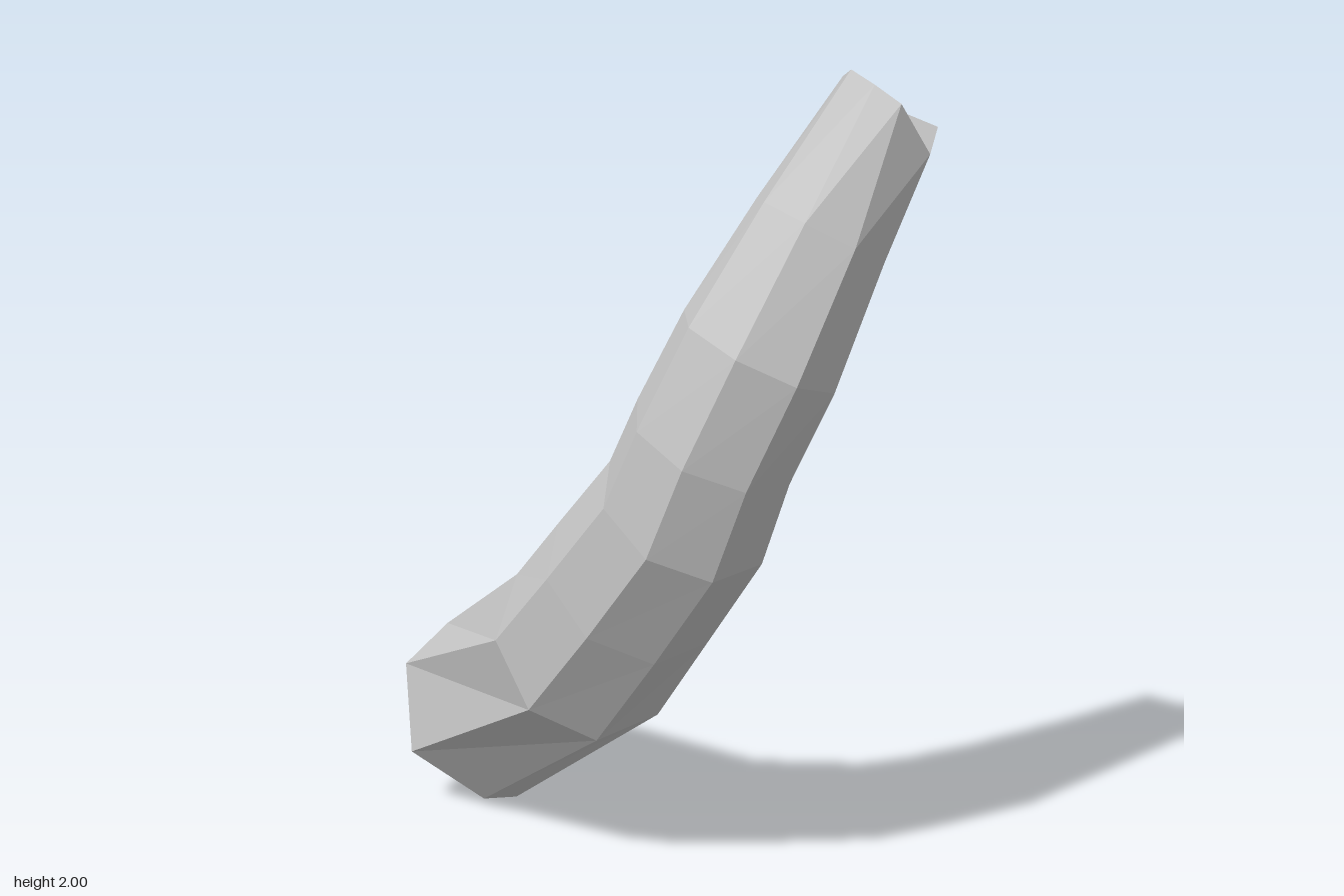
import * as THREE from 'three';

const SIDES = 8;
const V = (x, y, z) => new THREE.Vector3(x, y, z);

// Cut ends: corners start at +x and turn over the inner side of the bend
const upperEnd = [
  V(0.31, 1.86, 0.65), V(0.285, 1.85, 0.495), V(0.235, 1.91, 0.48), V(0.185, 1.965, 0.48),
  V(0.11, 2.0, 0.575), V(0.115, 1.975, 0.64), V(0.13, 1.94, 0.705), V(0.22, 1.82, 0.71),
];
const lowerEnd = [
  V(0.295, 0.18, -0.5), V(0.265, 0.39, -0.64), V(0.15, 0.5, -0.645), V(0, 0.43, -0.695),
  V(-0.13, 0.35, -0.705), V(-0.185, 0.15, -0.62), V(-0.05, 0.02, -0.5), V(0.05, 0, -0.49),
];

// Sections between the ends: centre and radius
const sections = [
  { centre: V(0.06, 1.65, 0.54), radius: 0.16 },
  { centre: V(-0.06, 1.385, 0.475), radius: 0.192 },
  { centre: V(-0.11, 1.17, 0.385), radius: 0.196 },
  { centre: V(-0.112, 0.985, 0.3), radius: 0.208 },
  { centre: V(-0.1, 0.765, 0.11), radius: 0.222 },
  { centre: V(-0.08, 0.56, -0.07), radius: 0.238 },
];

function centreOf(points) {
  return points.reduce((sum, p) => sum.add(p), V(0, 0, 0)).divideScalar(points.length);
}

// Ring of corners square to the direction of the limb
function makeRing({ centre, radius }, before, after) {
  const along = after.clone().sub(before).normalize();
  const side = V(1, 0, 0).addScaledVector(along, -along.x).normalize();
  const inner = side.clone().cross(along);
  return Array.from({ length: SIDES }, (_, j) => {
    const angle = THREE.MathUtils.degToRad(-20 + (j * 360) / SIDES);
    return centre.clone()
      .addScaledVector(side, radius * Math.cos(angle))
      .addScaledVector(inner, radius * Math.sin(angle));
  });
}

function geometryFrom(points) {
  const geometry = new THREE.BufferGeometry().setFromPoints(points);
  geometry.computeVertexNormals();
  return geometry;
}

// Skin joining each ring to the next
function loft(rings) {
  const points = [];
  for (let i = 0; i < rings.length - 1; i++) {
    for (let j = 0; j < SIDES; j++) {
      const k = (j + 1) % SIDES;
      const [a, b] = [rings[i], rings[i + 1]];
      points.push(a[j], b[j], a[k], a[k], b[j], b[k]);
    }
  }
  return geometryFrom(points);
}

// Faceted cap over a cut end
function cap(ring, flip) {
  const centre = centreOf(ring);
  const points = [];
  ring.forEach((p, j) => {
    const q = ring[(j + 1) % SIDES];
    points.push(centre, flip ? q : p, flip ? p : q);
  });
  return geometryFrom(points);
}

export function createModel() {
  const group = new THREE.Group();
  group.name = 'bentTube';
  const grey = new THREE.MeshStandardMaterial({ color: 0xc8c8c8 });
  grey.name = 'light grey';
  grey.flatShading = true;

  const centres = [centreOf(upperEnd), ...sections.map((s) => s.centre), centreOf(lowerEnd)];
  const rings = [
    upperEnd,
    ...sections.map((s, i) => makeRing(s, centres[i], centres[i + 2])),
    lowerEnd,
  ];

  const add = (name, geometry) => {
    const mesh = new THREE.Mesh(geometry, grey);
    mesh.name = name;
    group.add(mesh);
  };
  add('curvedBody', loft(rings));
  add('upperCap', cap(upperEnd, false));
  add('lowerCap', cap(lowerEnd, true));
  return group;
}
